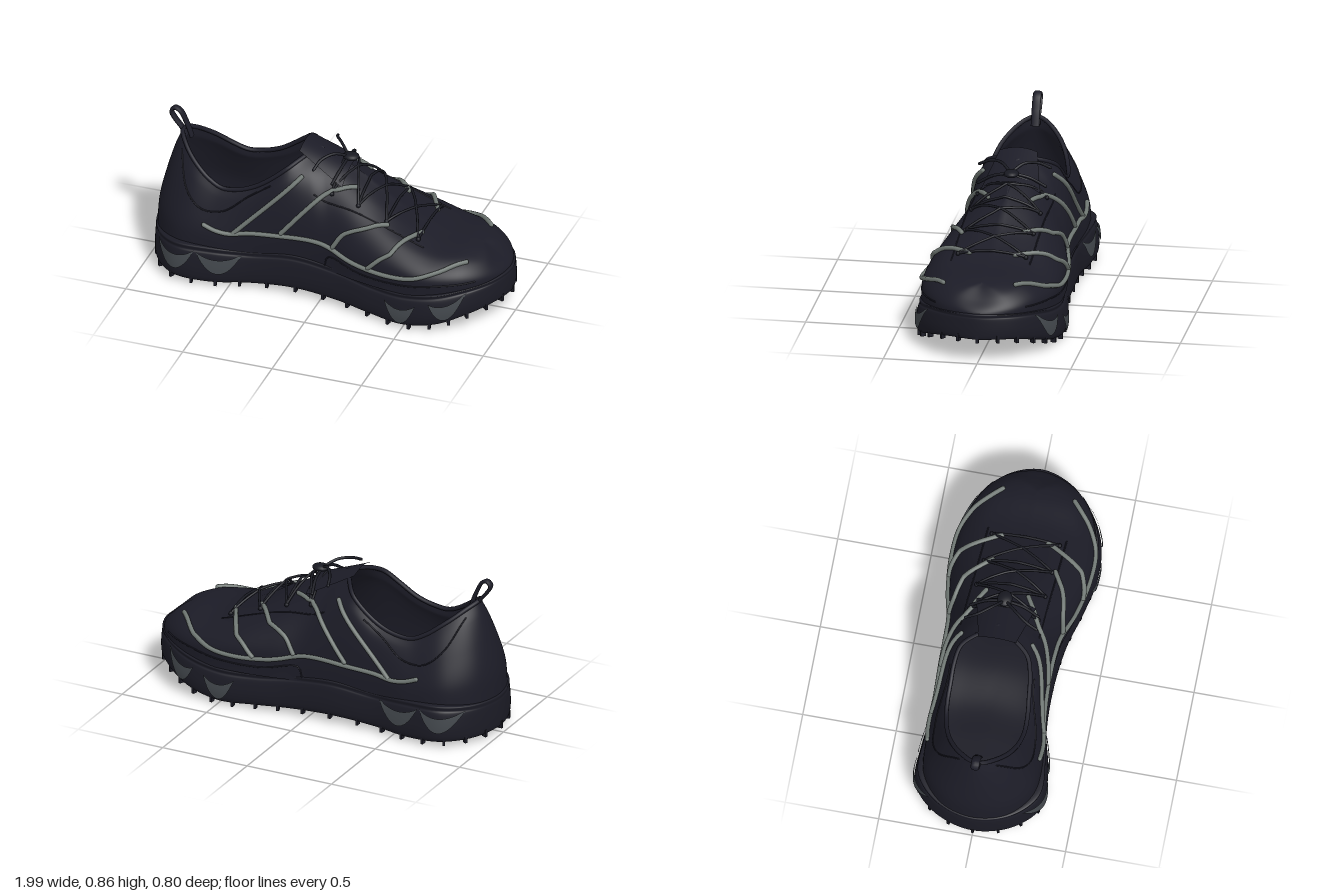
import * as THREE from 'three';
import { mergeVertices } from 'three/addons/utils/BufferGeometryUtils.js';

const V = (x, y, z) => new THREE.Vector3(x, y, z);
const { lerp } = THREE.MathUtils;
const mat = (name, color, side = THREE.FrontSide) => {
  const m = new THREE.MeshStandardMaterial({ color, side });
  m.name = name;
  return m;
};

// the foot bends slightly to one side in the middle
const skew = x => -0.028 * Math.exp(-(((x + 0.15) / 0.4) ** 2)) + 0.008 * Math.exp(-(((x - 0.7) / 0.2) ** 2));

// mirrors a half outline (heel to toe) into a closed curve
function closedRow(half) {
  const back = half.slice(1, -1).reverse().map(p => V(p.x, p.y, -p.z));
  return new THREE.CatmullRomCurve3([...half, ...back].map(p => V(p.x, p.y, p.z + skew(p.x))), true);
}

// surface through stacked rows: t runs round the shoe, v from low to high
const makeSurface = rows => {
  const curves = rows.map(closedRow);
  return (t, v) => new THREE.CatmullRomCurve3(curves.map(c => c.getPoint(((t % 1) + 1) % 1))).getPoint(v);
};

// point pushed off a surface along its outward normal
function offsetPoint(surf, t, v, off) {
  const v0 = Math.max(0, v - 0.01), v1 = Math.min(1, v + 0.01);
  const n = surf(t + 0.003, v).sub(surf(t - 0.003, v)).cross(surf(t, v1).sub(surf(t, v0))).normalize();
  return surf(t, v).addScaledVector(n, off);
}

function grid(fn, nu, nv) {
  const pos = [], idx = [];
  for (let j = 0; j <= nv; j++) for (let i = 0; i <= nu; i++) pos.push(...fn(i / nu, j / nv).toArray());
  for (let j = 0; j < nv; j++) for (let i = 0; i < nu; i++) {
    const a = j * (nu + 1) + i, d = a + nu + 1;
    idx.push(a, a + 1, d, a + 1, d + 1, d);
  }
  let g = new THREE.BufferGeometry();
  g.setAttribute('position', new THREE.Float32BufferAttribute(pos, 3));
  g.setIndex(idx);
  g = mergeVertices(g, 1e-4);
  g.computeVertexNormals();
  return g;
}

// returns a function laying a point on a surface, matched in two axes on one side
function projector(surf) {
  const samples = [];
  for (let i = 0; i < 160; i++) for (let j = 0; j <= 30; j++) samples.push({ t: i / 160, v: j / 30, p: surf(i / 160, j / 30) });
  return (x, b, side, off, axis = 'y', vMin = 0, vMax = 1) => {
    const err = p => (p.x - x) ** 2 + (p[axis] - b) ** 2;
    let best = null, e = Infinity;
    for (const s of samples) {
      if ((side > 0 ? s.t > 0.5 : s.t < 0.5 && s.t > 0) || s.v < vMin || s.v > vMax) continue;
      if (err(s.p) < e) { e = err(s.p); best = s; }
    }
    let { t, v } = best;
    for (let st = 0.004, sv = 0.02, k = 0; k < 16; k++) {
      let moved = false;
      for (const [dt, dv] of [[st, 0], [-st, 0], [0, sv], [0, -sv]]) {
        const w = Math.min(vMax, Math.max(vMin, v + dv)), q = err(surf(t + dt, w));
        if (q < e) { e = q; t += dt; v = w; moved = true; break; }
      }
      if (!moved) { st /= 2; sv /= 2; }
    }
    return offsetPoint(surf, t, v, off);
  };
}

export function createModel() {
  const shoe = new THREE.Group();
  const fabric = mat('dark fabric', 0x1c1c27, THREE.DoubleSide);
  const rubber = mat('dark rubber', 0x1b1b25, THREE.DoubleSide);
  const cord = mat('dark cord', 0x181921);
  const strapGrey = mat('grey strap', 0x6f7773);
  const accentGrey = mat('slate accent', 0x42474c, THREE.DoubleSide);
  const add = (name, geo, m, parent = shoe) => {
    const mesh = new THREE.Mesh(geo, m);
    mesh.name = name;
    parent.add(mesh);
    return mesh;
  };
  const tube = (name, pts, r, m, seg = 32) => {
    add(name, new THREE.TubeGeometry(new THREE.CatmullRomCurve3(pts), seg, r, 8), m);
    for (const p of [pts[0], pts[pts.length - 1]])
      add(name + 'End', new THREE.SphereGeometry(r, 8, 6).translate(p.x, p.y, p.z), m);
  };

  // upper: x, y, half width at the sole, the same at collar or instep, then roundness
  const stations = [
    [-.98, .2, 0, -.86, .73, 0, 0],
    [-.935, .2, .175, -.82, .7, .08, 0],
    [-.8, .2, .295, -.72, .62, .165, 0],
    [-.6, .2, .315, -.57, .535, .21, 0],
    [-.4, .2, .29, -.39, .575, .21, 0],
    [-.2, .2, .285, -.22, .7, .18, 0],
    [-.04, .2, .29, -.15, .745, .09, 0],
    [.06, .2, .3, -.09, .75, 0, 0],
    [.2, .2, .335, .2, .62, 0, .4],
    [.4, .2, .365, .4, .5, 0, .8],
    [.6, .2, .36, .6, .42, 0, .95],
    [.8, .21, .29, .76, .4, 0, .9],
    [.92, .23, .175, .81, .39, 0, .25],
    [.98, .245, 0, .82, .388, 0, -.4],
  ];
  // share of the height (heel, forefoot) and of the inward travel (heel, side) at each row
  const rises = [[0, 0, 0, 0], [.29, .5, .08, .03], [.61, .83, .4, .26], [.86, .96, .74, .6], [1, 1, 1, 1]];
  const upper = makeSurface(rises.map(([f0, f1, g0, g1]) => stations.map(([xb, yb, wb, xt, yt, wt, round], i) => {
    const f = lerp(f0, f1, round), g = i > 3 && i < 13 ? g1 : g0;
    return V(lerp(xb, xt, g), lerp(yb, yt, f), lerp(wb, wt, g));
  })));
  const onUpper = projector(upper);
  add('upper', grid(upper, 208, 32), fabric);

  // lining inside the opening, and the padded collar edge
  add('lining', grid((u, v) => offsetPoint(upper, (u - 0.5) * 16 / 26, v * 0.98, -0.025 * Math.min(1, (1 - v) * 6)), 80, 20), fabric);
  const collar = [];
  for (let i = -7; i <= 7; i += 0.5) collar.push(upper(i / 26, 1));
  tube('collarEdge', collar, 0.012, fabric, 96);

  // sole: x, half width, bottom and top height
  const outline = [
    [-.992, 0, .035, .21], [-.935, .21, .03, .215], [-.8, .34, .025, .225], [-.6, .34, .015, .22],
    [-.4, .305, .025, .21], [-.15, .305, .04, .235], [.1, .32, .03, .215], [.3, .36, .02, .195],
    [.5, .39, .012, .195], [.68, .37, .04, .215], [.82, .3, .085, .24], [.94, .17, .12, .255], [.99, 0, .125, .26],
  ];
  const layers = [[.12, 0], [.06, .6], [0, .93], [.08, .98], [.3, 1], [.6, .99], [.84, .965], [.9, .945], [1, .955], [1.03, .9], [1, .5], [1, 0]];
  const sole = makeSurface(layers.map(([f, s]) => outline.map(([x, w, b, t]) => V(x * (0.9 + 0.1 * s), b + (t - b) * f, w * s))));
  const onSole = projector(sole);
  add('sole', grid(sole, 192, 66), rubber);

  // slim tread lugs round the lower edge
  const lugs = new THREE.Group();
  lugs.name = 'treadLugs';
  shoe.add(lugs);
  for (let i = 0; i < 38; i++) {
    const t = i / 38, v = 2.6 / 11, d = sole(t + 0.005, v).sub(sole(t - 0.005, v));
    const lug = add('lug', new THREE.BoxGeometry(0.014, 0.042, 0.028).translate(0, -0.003, -0.008), rubber, lugs);
    lug.position.copy(sole(t, v));
    lug.rotation.y = Math.atan2(-d.z, d.x);
  }

  // crescents on the sole wall: centre x, half length, end height, slope
  for (const side of [1, -1]) for (const [cx, h, y, k] of [[-.79, .11, .2, 0], [-.55, .12, .195, 0], [.49, .09, .15, 0], [.735, .09, .2, .03]]) {
    const geo = grid((u, v) => {
      const q = side * (u * 2 - 1), bow = 1 - q * q;
      return onSole(cx + h * q, y + k * q - bow * (0.115 - 0.08 * v), side, 0.009, 'y', 2.5 / 11, 7 / 11);
    }, 14, 4);
    add('soleCrescent', geo, accentGrey);
  }

  // raised straps: x and y up the side, then x and z of the end on the left and right
  const straps = [
    { path: [[-.48, .32], [-.3, .5], [-.14, .665]] },
    { path: [[-.22, .36], [-.1, .5], [-.02, .58], [.03, .61]], end: [.14, .085, -.135] },
    { path: [[.08, .35], [.13, .425], [.18, .455], [.24, .475]], end: [.35, .19, -.14] },
    { path: [[.3, .305], [.36, .36], [.41, .39]], end: [.52, .12, -.12] },
    { path: [[-.64, .345], [-.58, .325], [-.5, .315], [-.4, .33], [-.25, .34], [0, .35], [.2, .305], [.4, .29], [.55, .3], [.68, .335]], end: [.8, .21, -.17] },
  ];
  const laid = (path, side, off, n = 18) => {
    const c = new THREE.CatmullRomCurve3(path.map(([x, y]) => V(x, y, 0)));
    return c.getPoints(n).map(p => onUpper(p.x, p.y, side, off));
  };
  for (const side of [1, -1]) {
    for (const { path, end } of straps) {
      const pts = laid(path, side, 0.007, path.length * 3);
      if (end) {
        const from = pts[pts.length - 1], z = side > 0 ? end[1] : end[2];
        for (let k = 0.25; k <= 1; k += 0.25) pts.push(onUpper(lerp(from.x, end[0], k), lerp(from.z, z, k), side, 0.007, 'z', 0.2));
      }
      tube('sideStrap', pts, 0.0125, strapGrey, 72);
    }
    // stitched seams of heel counter, eyestay and toe guard
    tube('heelSeam', laid([[-.83, .66], [-.76, .5], [-.66, .42], [-.54, .43], [-.42, .52], [-.3, .6]], side, 0), 0.004, fabric, 40);
    const stay = [];
    for (let x = -0.06; x <= 0.56; x += 0.062) stay.push(onUpper(x, side * 0.21 + skew(x), side, 0, 'z', 0.3));
    tube('eyestaySeam', stay, 0.004, fabric, 40);
    tube('guardSeam', laid([[.03, .22], [.05, .28], [.25, .25], [.5, .25], [.7, .27], [.86, .28]], side, 0), 0.004, fabric, 40);
  }

  // tongue standing above the collar
  add('tongue', grid((u, v) => {
    const q = u * 2 - 1, w = 0.1 + 0.06 * v;
    return V(-.18 + .26 * v, .795 - .1 * v - (0.02 + 0.04 * v) * q * q, q * w - 0.02);
  }, 12, 8), fabric);

  // crossed laces with bars between eyelets
  const eyes = [.03, .18, .34, .52];
  const lace = (x0, z0, x1, z1, lift) => {
    const pts = [];
    for (let i = 0; i <= 10; i++) {
      const k = i / 10, x = lerp(x0, x1, k), z = lerp(z0, z1, k);
      pts.push(onUpper(x, z + skew(x), z >= 0 ? 1 : -1, 0.008 + lift * Math.sin(Math.PI * k), 'z', 0.3));
    }
    tube('lace', pts, 0.007, cord, 30);
  };
  eyes.forEach((x, i) => {
    lace(x, -.18, x, .18, 0.01);
    for (const s of [1, -1]) {
      if (i < eyes.length - 1) lace(x, s * .18, eyes[i + 1], -s * .18, 0.025);
      const p = onUpper(x, s * .18 + skew(x), s, 0.006, 'z', 0.3);
      add('eyelet', new THREE.SphereGeometry(0.012, 10, 8).translate(p.x, p.y, p.z), cord);
    }
  });

  // lace toggle and loose cord ends
  add('laceToggle', new THREE.SphereGeometry(1, 20, 12).scale(.045, .02, .04).translate(.07, .735, -.025), cord);
  for (const s of [1, -1]) {
    tube('laceEnd', [V(.06, .735, -.02), V(0, .77, s * .06 - .02), V(-.05, .76, s * .13 - .02), V(-.07, .73, s * .19 - .02)], 0.008, cord);
    tube('laceRun', [V(.06, .735, -.02), V(.05, .71, s * .1 - .02), V(.03, .66, s * .18 - .02)], 0.008, cord);
  }

  // heel pull loop
  const loop = new THREE.CatmullRomCurve3([V(-.81, .69, 0), V(-.84, .77, 0), V(-.875, .835, 0), V(-.905, .848, 0), V(-.925, .825, 0), V(-.905, .785, 0), V(-.865, .735, 0), V(-.84, .69, 0)]);
  add('heelPullLoop', new THREE.TubeGeometry(loop, 48, 0.01, 8).scale(1, 1, 2.3), fabric);
  return shoe;
}
